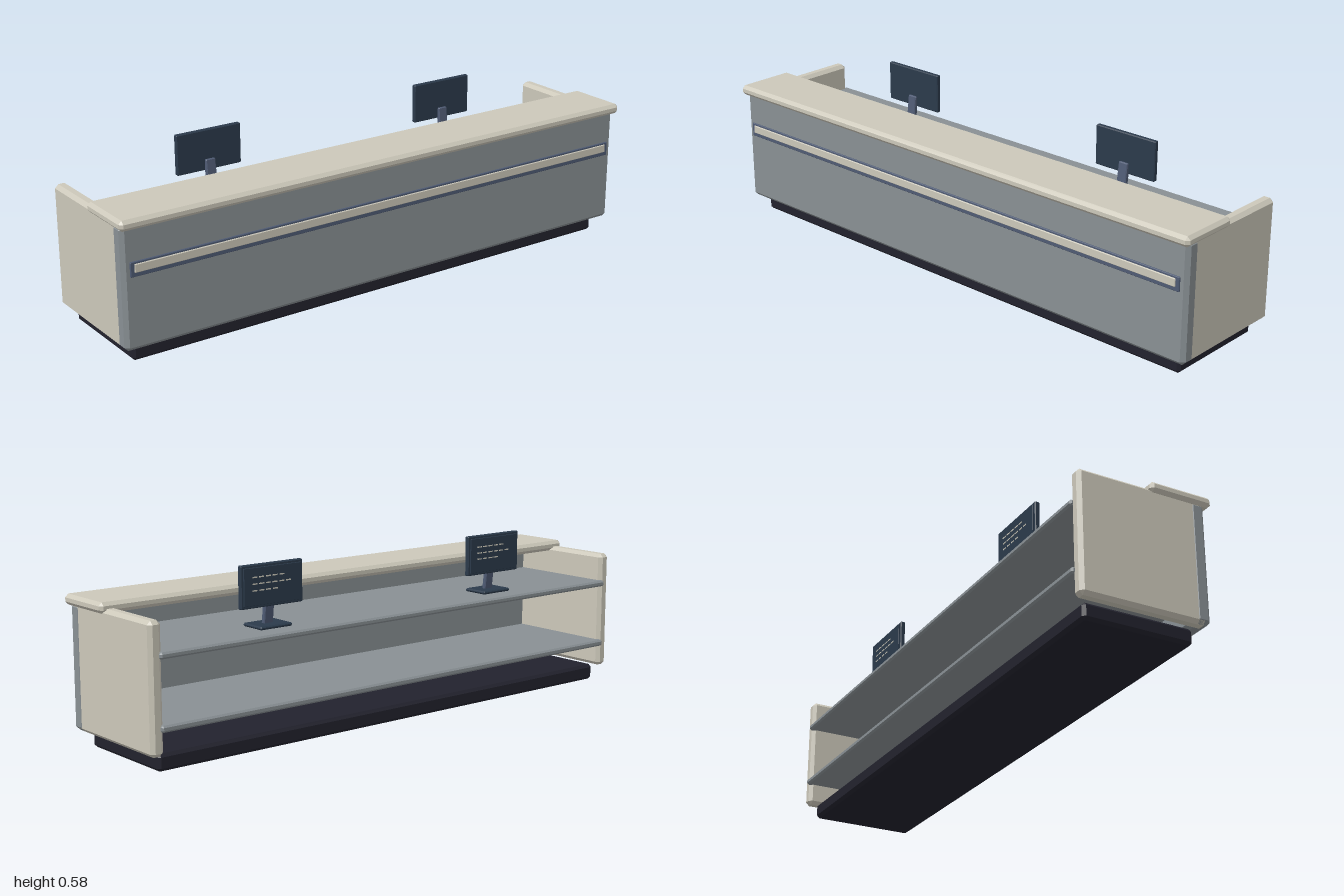
import * as THREE from 'three';
import { ConvexGeometry } from 'three/addons/geometries/ConvexGeometry.js';

const material = (name, color) => {
  const m = new THREE.MeshStandardMaterial({ color });
  m.name = name;
  return m;
};

// Box with bevelled edges, given by its limits on each axis
function bevelBox(name, mat, [x0, x1], [y0, y1], [z0, z1], bevel) {
  const half = [(x1 - x0) / 2, (y1 - y0) / 2, (z1 - z0) / 2];
  const points = [];
  for (const sx of [-1, 1]) for (const sy of [-1, 1]) for (const sz of [-1, 1]) {
    for (let axis = 0; axis < 3; axis++) {
      const p = half.map((h, i) => (i === axis ? h : h - bevel));
      points.push(new THREE.Vector3(p[0] * sx, p[1] * sy, p[2] * sz));
    }
  }
  const mesh = new THREE.Mesh(new ConvexGeometry(points), mat);
  mesh.position.set((x0 + x1) / 2, (y0 + y1) / 2, (z0 + z1) / 2);
  mesh.name = name;
  return mesh;
}

export function createModel() {
  const cream = material('cream', 0xccc8ba);
  const grey = material('grey', 0x899094);
  const dark = material('dark plinth', 0x22222d);
  const navy = material('navy', 0x2b3a4b);
  const slate = material('slate', 0x4f5b74);

  const desk = new THREE.Group();
  desk.name = 'receptionDesk';

  // Plinth and front panel
  desk.add(bevelBox('plinth', dark, [-0.948, 0.948], [0, 0.055], [-0.197, 0.178], 0.01));
  desk.add(bevelBox('frontPanel', grey, [-0.99, 0.99], [0.056, 0.462], [0.163, 0.218], 0.013));

  // End panels
  for (const s of [-1, 1]) {
    const xs = s > 0 ? [0.943, 0.988] : [-0.988, -0.943];
    desk.add(bevelBox('endPanel', cream, xs, [0.055, 0.467], [-0.227, 0.207], 0.012));
  }

  // Raised counter along the front
  desk.add(bevelBox('counterTop', cream, [-1, 1], [0.452, 0.487], [0.02, 0.238], 0.011));

  // Work surface and lower shelf
  desk.add(bevelBox('workSurface', grey, [-0.957, 0.957], [0.351, 0.372], [-0.237, 0.17], 0.006));
  desk.add(bevelBox('lowerShelf', grey, [-0.957, 0.957], [0.13, 0.152], [-0.237, 0.17], 0.006));

  // Inlaid band across the front
  desk.add(bevelBox('bandFrame', slate, [-0.965, 0.965], [0.298, 0.347], [0.214, 0.223], 0.002));
  desk.add(bevelBox('bandInlay', cream, [-0.952, 0.952], [0.312, 0.34], [0.219, 0.227], 0.002));

  // Two monitors, facing the clerk's side
  for (const x of [-0.48, 0.48]) {
    const monitor = new THREE.Group();
    monitor.name = 'monitor';
    monitor.position.x = x;
    monitor.add(bevelBox('monitorBase', navy, [-0.062, 0.062], [0.372, 0.383], [-0.165, -0.07], 0.004));
    const neck = bevelBox('monitorNeck', slate, [-0.018, 0.018], [0.378, 0.478], [-0.128, -0.112], 0.003);
    neck.rotation.x = -0.12;
    monitor.add(neck);
    monitor.add(bevelBox('monitorCase', navy, [-0.12, 0.12], [0.44, 0.577], [-0.143, -0.126], 0.003));
    monitor.add(bevelBox('monitorScreen', navy, [-0.111, 0.111], [0.449, 0.568], [-0.147, -0.141], 0.001));

    // Rows of short dashes on the screen
    [5, 6, 4].forEach((count, row) => {
      for (let i = 0; i < count; i++) {
        const dash = new THREE.Mesh(new THREE.BoxGeometry(0.019, 0.004, 0.001), cream);
        dash.name = 'screenDash';
        dash.position.set(0.07 - i * 0.026, 0.538 - row * 0.021, -0.1474);
        monitor.add(dash);
      }
    });
    desk.add(monitor);
  }
  return desk;
}
